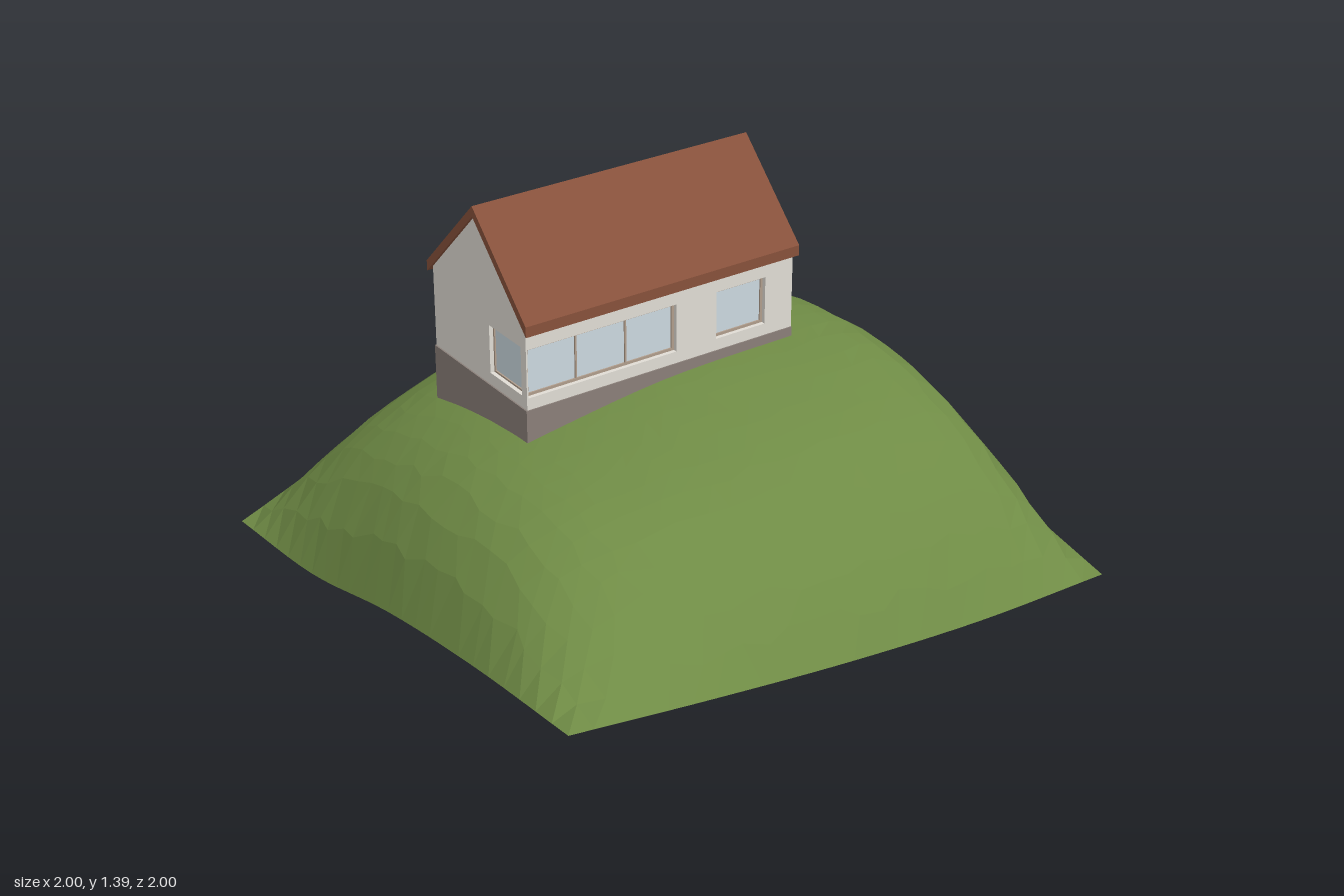
import * as THREE from 'three';

const mat = (color, extra = {}) => new THREE.MeshStandardMaterial({ color, ...extra });

export function createModel() {
  const model = new THREE.Group();
  const grass = mat(0x6f8b45, { flatShading: true, side: THREE.DoubleSide });
  const plaster = mat(0xe0dcd4);
  const stone = mat(0x8a7f79);
  const tile = mat(0x87513b);
  const frameMat = mat(0xb09d8c);
  const glass = mat(0xcbd8df);
  const doorMat = mat(0xc2c2c2);

  const add = (name, geometry, material, parent = model) => {
    const mesh = new THREE.Mesh(geometry, material);
    mesh.name = name;
    parent.add(mesh);
    return mesh;
  };
  // Box given by its limits on each axis
  const box = (name, material, [x0, x1], [y0, y1], [z0, z1], parent) => {
    const mesh = add(name, new THREE.BoxGeometry(x1 - x0, y1 - y0, z1 - z0), material, parent);
    mesh.position.set((x0 + x1) / 2, (y0 + y1) / 2, (z0 + z1) / 2);
  };

  // Hill: a sheet spanned between four curved edges, raised by a broad dome
  const edge = (heights) => {
    const n = heights.length;
    const h = [2 * heights[0] - heights[1], ...heights, 2 * heights[n - 1] - heights[n - 2]];
    const curve = new THREE.SplineCurve(h.map((y, i) => new THREE.Vector2(i, y)));
    return (s) => curve.getPoint((1 + (s + 1) * 2) / (n + 1)).y;
  };
  const front = edge([0.4, 0.325, 0.26, 0.215, 0.2]);
  const back = edge([0.1, 0.285, 0.38, 0.25, 0]);
  const left = edge([0.1, 0.15, 0.27, 0.35, 0.4]);
  const right = edge([0, 0.27, 0.34, 0.29, 0.2]);
  const { lerp } = THREE.MathUtils;
  const hillHeight = (x, z) => {
    const u = (x + 1) / 2, v = (z + 1) / 2;
    const corners = lerp(lerp(0.1, 0, u), lerp(0.4, 0.2, u), v);
    const sheet = lerp(left(z), right(z), u) + lerp(back(x), front(x), v) - corners;
    const crown = 0.325 + 0.04 * x + 0.1 * x * x;
    const falloff = (1 - Math.abs(x) ** (7 + x)) * (1 - Math.abs(z) ** (4.4 - 0.6 * z));
    return sheet + crown * falloff * (1 - 0.6 * x * x * z * z);
  };
  // Inner vertices are shifted a little for irregular facets
  let seed = 7;
  const jitter = () => {
    seed = (seed * 16807) % 2147483647;
    return (seed / 2147483647 - 0.5) * 0.032;
  };
  const hill = new THREE.PlaneGeometry(2, 2, 24, 24).rotateX(-Math.PI / 2);
  const p = hill.attributes.position;
  for (let i = 0; i < p.count; i++) {
    let x = p.getX(i), z = p.getZ(i);
    if (Math.max(Math.abs(x), Math.abs(z)) < 0.99) {
      x += jitter();
      z += jitter();
    }
    p.setXYZ(i, x, hillHeight(x, z), z);
  }
  hill.computeVertexNormals();
  add('hill', hill, grass);

  const house = new THREE.Group();
  house.name = 'house';
  model.add(house);
  const ridgeZ = -0.248;
  box('foundation', stone, [-0.505, 0.5], [0.62, 0.815], [-0.518, 0.025], house);

  // Roof: a folded slab along x
  const toShape = (points) => new THREE.Shape(points.map(([x, y]) => new THREE.Vector2(x, y)));
  const slab = [[-0.288, 1.07], [0, 1.358], [0.288, 1.07], [0.288, 1.105], [0, 1.392], [-0.288, 1.105]];
  const roof = new THREE.ExtrudeGeometry(toShape(slab), { depth: 1.02, bevelEnabled: false });
  add('roof', roof.translate(0, 0, -0.51).rotateY(Math.PI / 2), tile, house).position.z = ridgeZ;

  // Framed pane facing +z, set back inside a wall opening
  const framedPane = (parent, { name, x: [x0, x1], y: [y0, y1], panes = 1, paneMat = glass, bar = 0.009 }) => {
    const group = new THREE.Group();
    group.name = name;
    parent.add(group);
    const depth = [-0.024, -0.014];
    box('pane', paneMat, [x0, x1], [y0, y1], [-0.024, -0.019], group);
    box('sill', frameMat, [x0, x1], [y0, y0 + bar], depth, group);
    box('head', frameMat, [x0, x1], [y1 - bar, y1], depth, group);
    box('jamb', frameMat, [x0, x0 + bar], [y0, y1], depth, group);
    box('jamb', frameMat, [x1 - bar, x1], [y0, y1], depth, group);
    for (let i = 1; i < panes; i++) {
      const x = lerp(x0, x1, i / panes);
      box('mullion', frameMat, [x - 0.003, x + 0.003], [y0, y1], depth, group);
    }
  };

  // Wall with its outer face on local z = 0, pierced by framed openings
  const thickness = 0.025;
  const wall = (name, outline, openings, position, turn = 0) => {
    const group = new THREE.Group();
    group.name = name;
    const shape = toShape(outline);
    for (const opening of openings) {
      const { x: [x0, x1], y: [y0, y1] } = opening;
      const hole = [[x0, y0], [x0, y1], [x1, y1], [x1, y0]];
      shape.holes.push(new THREE.Path(hole.map(([x, y]) => new THREE.Vector2(x, y))));
      framedPane(group, opening);
    }
    const geometry = new THREE.ExtrudeGeometry(shape, { depth: thickness, bevelEnabled: false });
    add('panel', geometry.translate(0, 0, -thickness), plaster, group);
    group.position.set(...position);
    group.rotation.y = turn;
    house.add(group);
  };
  const sideOutline = [[-0.5, 0.815], [0.5, 0.815], [0.5, 1.112], [-0.5, 1.112]];
  const gable = [[-0.244, 0.815], [0.244, 0.815], [0.244, 1.118], [0, 1.362], [-0.244, 1.118]];
  const windowY = [0.855, 1.018];

  wall('frontWall', sideOutline, [
    { name: 'longWindow', x: [-0.495, 0.05], y: windowY, panes: 3 },
    { name: 'smallWindow', x: [0.203, 0.393], y: windowY },
  ], [0, 0, 0.021]);
  wall('backWall', sideOutline, [], [0, 0, -0.516], Math.PI);
  wall('leftWall', gable, [
    { name: 'door', x: [-0.143, -0.037], y: [0.816, 1.037], paneMat: doorMat, bar: 0.005 },
  ], [0.5, 0, ridgeZ], Math.PI / 2);
  wall('rightWall', gable, [
    { name: 'endWindow', x: [0.06, 0.24], y: windowY, bar: 0.006 },
  ], [-0.5, 0, ridgeZ], -Math.PI / 2);

  // Two steps below the door
  box('upperStep', stone, [0.49, 0.525], [0.74, 0.813], [-0.215, -0.1], house);
  box('lowerStep', stone, [0.49, 0.553], [0.74, 0.797], [-0.222, -0.097], house);

  return model;
}
